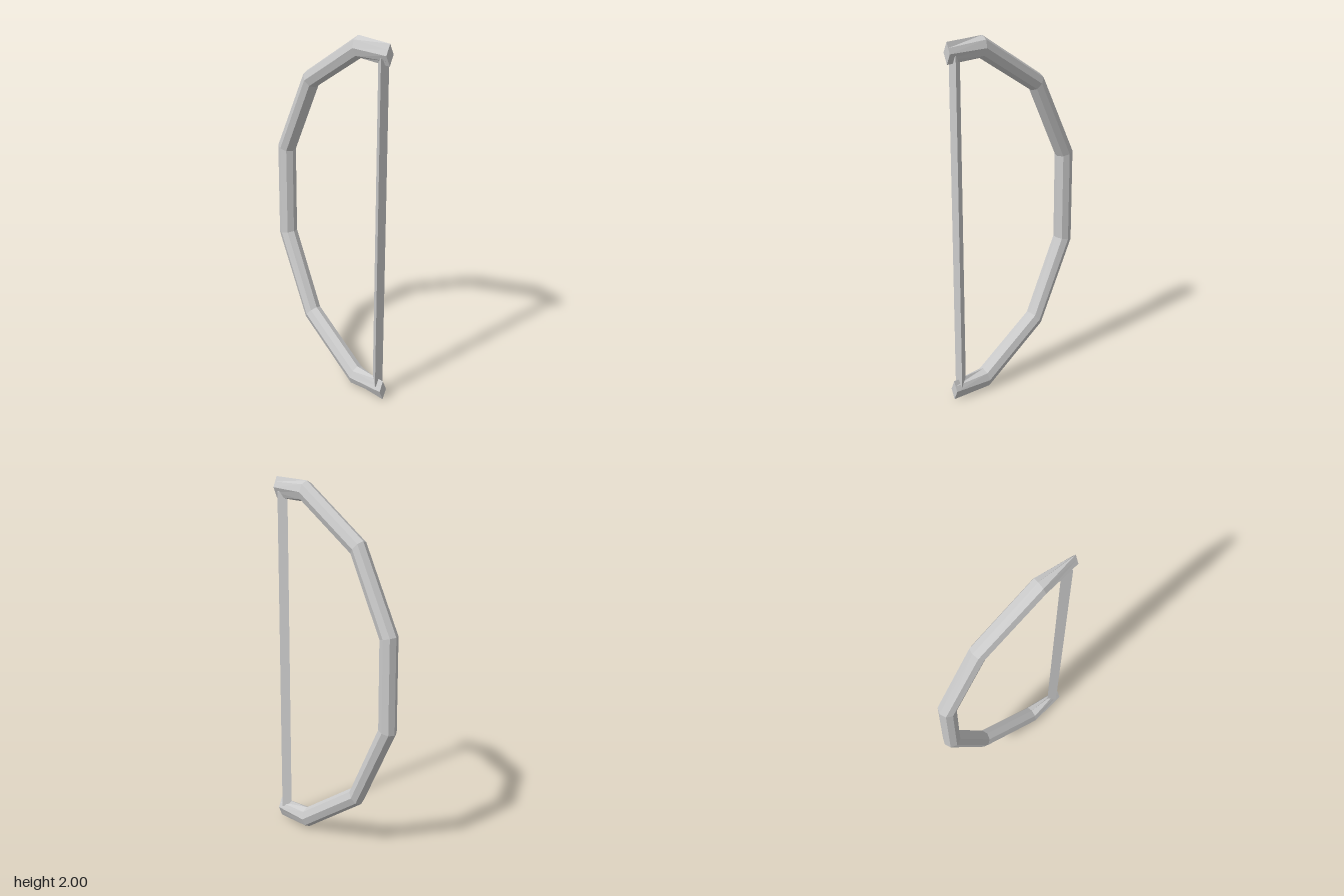
import * as THREE from 'three';

const SIDES = 8;
const material = new THREE.MeshStandardMaterial({
  color: 0xcccccc,
  flatShading: true,
});

// Upper half of the limb: outer [z, y], inner [z, y], half width.
// The tip is a diamond, the rest a regular octagon.
const upper = [
  { outer: [0.425, 2.0], inner: [0.425, 1.886], half: 0.0245, diamond: true },
  { outer: [0.2, 2.0], inner: [0.219, 1.886], half: 0.049 },
  { outer: [-0.196, 1.733], inner: [-0.131, 1.654], half: 0.049 },
  { outer: [-0.425, 1.268], inner: [-0.327, 1.243], half: 0.049 },
];

// Mirror the upper stations about y = 1 for the lower half
const flip = ([z, y]) => [z, 2 - y];
const lower = upper
  .map((s) => ({ ...s, outer: flip(s.outer), inner: flip(s.inner) }))
  .reverse();

// Eight-sided tube through the mitred stations, closed at both tips
function limbGeometry(stations) {
  const positions = [];
  const index = [];
  for (const { outer, inner, half, diamond } of stations) {
    for (let i = 0; i < SIDES; i++) {
      const a = (i / SIDES) * Math.PI * 2;
      const sin = Math.sin(a);
      const cos = Math.cos(a);
      const r = diamond ? 1 / (Math.abs(sin) + Math.abs(cos)) : 1;
      const t = (1 - r * cos) / 2; // 0 on the outer edge, 1 on the inner
      positions.push(
        half * r * sin,
        THREE.MathUtils.lerp(outer[1], inner[1], t),
        THREE.MathUtils.lerp(outer[0], inner[0], t)
      );
    }
  }
  for (let r = 0; r < stations.length - 1; r++) {
    for (let i = 0; i < SIDES; i++) {
      const a = r * SIDES + i;
      const b = r * SIDES + ((i + 1) % SIDES);
      index.push(a, b, a + SIDES, b, b + SIDES, a + SIDES);
    }
  }
  const last = (stations.length - 1) * SIDES;
  for (let i = 1; i < SIDES - 1; i++) {
    index.push(0, i + 1, i);
    index.push(last, last + i, last + i + 1);
  }
  const geometry = new THREE.BufferGeometry();
  geometry.setAttribute('position', new THREE.Float32BufferAttribute(positions, 3));
  geometry.setIndex(index);
  // Separate corners keep every facet flat
  const flat = geometry.toNonIndexed();
  flat.computeVertexNormals();
  return flat;
}

export function createModel() {
  const model = new THREE.Group();
  model.name = 'bow';

  const limb = new THREE.Mesh(limbGeometry([...upper, ...lower]), material);
  limb.name = 'bowLimb';
  model.add(limb);

  // Three-sided string: flat face forward, ridge towards the limb
  const stringGeometry = new THREE.CylinderGeometry(0.032, 0.032, 1.85, 3);
  stringGeometry.rotateY(Math.PI);
  const string = new THREE.Mesh(stringGeometry, material);
  string.name = 'bowString';
  string.position.set(0, 1, 0.376);
  model.add(string);

  return model;
}
